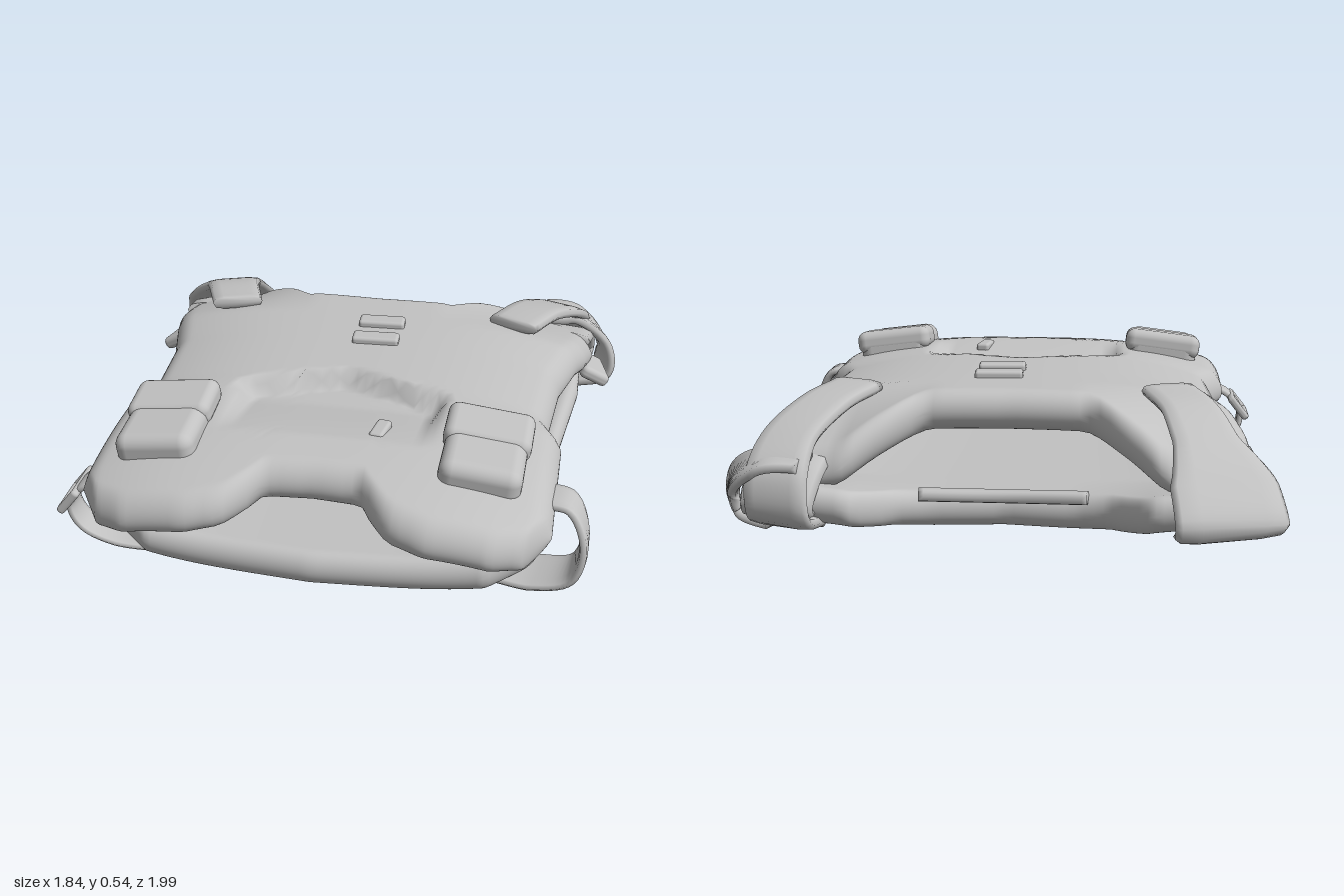
import * as THREE from 'three';
import { mergeVertices } from 'three/addons/utils/BufferGeometryUtils.js';
import { RoundedBoxGeometry } from 'three/addons/geometries/RoundedBoxGeometry.js';

const cloth = new THREE.MeshStandardMaterial({ color: 0xc2c2c2 });
cloth.name = 'grey cloth';

const clamp = THREE.MathUtils.clamp;
const V = (p) => new THREE.Vector3(...p);

// Piecewise linear curve through [key, value] pairs
function curve(pts) {
  return (k) => {
    for (let i = 1; i < pts.length; i++) {
      const [a, b] = [pts[i - 1], pts[i]];
      if (k <= b[0]) return THREE.MathUtils.lerp(a[1], b[1], clamp((k - a[0]) / (b[0] - a[0]), 0, 1));
    }
    return pts[pts.length - 1][1];
  };
}

function build(pos, idx) {
  let g = new THREE.BufferGeometry();
  g.setAttribute('position', new THREE.Float32BufferAttribute(pos, 3));
  g.setIndex(idx);
  g = mergeVertices(g, 1e-4);
  g.computeVertexNormals();
  return g;
}

// Padded panel: outline by back/front edge per column and half width per row
function paddedPanel({ back, front, half, mid, thick, dent = () => 0, round = 0.07 }) {
  const NX = 72, NZ = 90, pos = [], idx = [];
  const soft = (d) => Math.sqrt(1 - (1 - clamp(d / round, 0, 1)) ** 2);
  for (const side of [1, -1]) {
    const base = pos.length / 3;
    for (let i = 0; i <= NX; i++) for (let j = 0; j <= NZ; j++) {
      const s = Math.sin((i / NX - 0.5) * Math.PI), a = Math.abs(s);
      const t = (1 - Math.cos(j / NZ * Math.PI)) / 2;
      const z0 = back(a), z1 = front(a), z = z0 + t * (z1 - z0), x = s * half(z);
      const f = soft((1 - a) * 0.78) * soft(Math.min(t, 1 - t) * (z1 - z0));
      let y = mid(a, z) + side * f * thick / 2;
      if (side > 0) y -= f * dent(x, z);
      pos.push(x, y, z);
      if (i < NX && j < NZ) {
        const p = base + i * (NZ + 1) + j, q = p + NZ + 1;
        if (side > 0) idx.push(p, p + 1, q, q, p + 1, q + 1);
        else idx.push(p, q, p + 1, q, q + 1, p + 1);
      }
    }
  }
  return build(pos, idx);
}

// Flat strap with rounded edges swept along a path; widths vary along it
function strapGeometry(points, widths, thick, across) {
  const path = new THREE.CatmullRomCurve3(points.map(V));
  const N = 36, M = 10, pos = [], idx = [];
  const width = curve(widths.map((w, i) => [i / (widths.length - 1), w]));
  for (let i = 0; i <= N; i++) {
    const p = path.getPoint(i / N), T = path.getTangent(i / N);
    const S = V(across).addScaledVector(T, -V(across).dot(T)).normalize();
    const U = new THREE.Vector3().crossVectors(T, S);
    for (let j = 0; j < M; j++) {
      const c = Math.cos(j / M * 2 * Math.PI), s = Math.sin(j / M * 2 * Math.PI);
      const q = p.clone()
        .addScaledVector(S, Math.sign(c) * Math.abs(c) ** 0.5 * width(i / N) / 2)
        .addScaledVector(U, Math.sign(s) * Math.abs(s) ** 0.6 * thick / 2);
      pos.push(q.x, q.y, q.z);
      if (i < N) {
        const a = i * M + j, b = i * M + (j + 1) % M;
        idx.push(a, b, a + M, b, b + M, a + M);
      }
    }
  }
  for (let j = 1; j < M - 1; j++) {
    idx.push(0, j + 1, j);
    idx.push(N * M, N * M + j, N * M + j + 1);
  }
  return build(pos, idx);
}

export function createModel() {
  const model = new THREE.Group();
  model.name = 'vest';
  const add = (name, geo, p = [0, 0, 0], r = [0, 0, 0], parent = model) => {
    const m = new THREE.Mesh(geo, cloth);
    m.name = name;
    m.position.set(...p);
    m.rotation.set(...r);
    parent.add(m);
    return m;
  };
  const pad = (w, h, d, r = 0.02) => new RoundedBoxGeometry(w, h, d, 3, Math.min(r, h / 2.1));

  // Front panel, lying on top, with a stepped belly pocket
  const shoulderDrop = curve([[0.3, 0], [0.65, 1], [1, 1]]);
  add('frontPanel', paddedPanel({
    back: curve([[0, -0.5], [0.35, -0.51], [0.45, -0.62], [0.6, -0.74], [0.85, -0.74], [1, -0.6]]),
    front: curve([[0, 0.8], [0.21, 0.81], [0.27, 0.88], [0.36, 0.95], [0.52, 0.985], [0.8, 0.975], [0.92, 0.93], [1, 0.8]]),
    half: curve([[-0.75, 0.85], [-0.42, 0.81], [-0.1, 0.73], [0.24, 0.71], [0.34, 0.765], [0.8, 0.77], [1, 0.73]]),
    mid: (a, z) => 0.41 - 0.09 * a ** 3 - 0.07 * Math.max(0, (z - 0.45) / 0.5) ** 2
      - 0.14 * shoulderDrop(a) * Math.max(0, (-0.3 - z) / 0.45) ** 1.2,
    thick: 0.14,
    dent: (x, z) => {
      const a = Math.abs(x), d = z - 0.15 - 0.35 * a;
      if (a > 0.36 || d < 0) return 0;
      return 0.065 * clamp(d / 0.025, 0, 1) * clamp((0.62 - z) / 0.3, 0, 1) * clamp((0.36 - a) / 0.03, 0, 1);
    },
  }));

  // Back panel, lying on the ground
  add('backPanel', paddedPanel({
    back: curve([[0, -0.61], [0.32, -0.64], [0.45, -0.68], [0.62, -0.84], [0.82, -0.84], [1, -0.6]]),
    front: curve([[0, 0.87], [0.2, 0.86], [0.8, 0.83], [1, 0.7]]),
    half: curve([[-0.85, 0.78], [-0.4, 0.79], [0, 0.75], [0.3, 0.75], [0.6, 0.74], [0.9, 0.7]]),
    mid: (a, z) => 0.1 + 0.06 * a ** 4 + 0.05 * shoulderDrop(a) * Math.max(0, (-0.45 - z) / 0.4),
    thick: 0.12,
    round: 0.05,
  }));
  for (let i = 0; i < 5; i++) add('backWebbing', pad(0.86, 0.035, 0.13, 0.015), [0, 0.038, -0.38 + i * 0.21], [0.12, 0, 0]);
  add('neckTab', strapGeometry([[-0.28, 0.16, -0.645], [0, 0.15, -0.61], [0.28, 0.16, -0.645]], [0.06, 0.06], 0.04, [0, 0, 1]));

  for (const k of [-1, 1]) {
    // Padded shoulder fold joining both panels
    add('shoulderFold', strapGeometry(
      [[0.68, 0.31, -0.58], [0.7, 0.25, -0.76], [0.71, 0.16, -0.84], [0.7, 0.13, -0.72]].map(([x, y, z]) => [k * x, y, z]),
      [0.28, 0.27, 0.25, 0.24], 0.06, [1, 0, k * 0.2]));
    add('shoulderTab', pad(0.12, 0.05, 0.18), [k * 0.83, 0.2, -0.56], [0, k * 0.25, -k * 0.5]);

    // Belly pouch with flap
    const pouch = new THREE.Group();
    pouch.name = 'pouch';
    pouch.position.set(k * 0.53, 0.445, 0.595);
    pouch.rotation.set(0.06, 0, -k * 0.12);
    add('pouchBody', pad(0.27, 0.12, 0.37, 0.045), [0, 0, 0], [0, 0, 0], pouch);
    add('pouchFlap', pad(0.29, 0.09, 0.19, 0.035), [0, 0.03, -0.09], [0.05, 0, 0], pouch);
    model.add(pouch);
  }

  // Shoulder straps: one flared, one looped
  add('rightShoulderStrap', strapGeometry(
    [[-0.54, 0.465, -0.34], [-0.61, 0.44, -0.54], [-0.66, 0.37, -0.71], [-0.71, 0.27, -0.84], [-0.735, 0.15, -0.935], [-0.7, 0.1, -0.8]],
    [0.19, 0.2, 0.23, 0.36, 0.38, 0.3], 0.045, [0.94, 0, -0.34]));
  add('leftShoulderStrap', strapGeometry(
    [[0.53, 0.465, -0.34], [0.61, 0.44, -0.54], [0.69, 0.36, -0.74], [0.7, 0.26, -0.88], [0.69, 0.15, -0.9], [0.67, 0.1, -0.75]],
    [0.2, 0.2, 0.21, 0.23, 0.24, 0.22], 0.045, [0.94, 0, 0.34]));
  add('leftStrapLoop', strapGeometry(
    [[0.62, 0.31, -0.82], [0.76, 0.3, -0.81], [0.87, 0.22, -0.74], [0.87, 0.13, -0.72], [0.75, 0.08, -0.73]],
    [0.2, 0.2, 0.18, 0.18, 0.18], 0.04, [0.35, 0, 0.94]));

  // Waist straps
  add('leftWaistStrap', strapGeometry(
    [[0.72, 0.33, 0.62], [0.82, 0.32, 0.64], [0.87, 0.21, 0.67], [0.84, 0.09, 0.67], [0.72, 0.04, 0.64], [0.55, 0.035, 0.6]],
    [0.14, 0.14, 0.15, 0.17, 0.2, 0.2], 0.03, [0, 0, 1]));
  add('rightWaistStrap', strapGeometry(
    [[-0.7, 0.28, 0.69], [-0.8, 0.25, 0.69], [-0.86, 0.17, 0.68], [-0.83, 0.08, 0.67], [-0.72, 0.03, 0.66], [-0.55, 0.02, 0.64]],
    [0.12, 0.12, 0.1, 0.11, 0.14, 0.18], 0.025, [0, 0, 1]));
  const buckle = new THREE.Group();
  buckle.name = 'buckle';
  buckle.position.set(-0.85, 0.2, 0.675);
  buckle.rotation.z = 0.9;
  for (const s of [-1, 1]) {
    add('buckleRail', pad(0.11, 0.03, 0.025), [0, 0, s * 0.08], [0, 0, 0], buckle);
    add('buckleBar', pad(0.025, 0.03, 0.17), [s * 0.045, 0, 0], [0, 0, 0], buckle);
  }
  model.add(buckle);

  // Small chest loops and pocket pull
  for (const z of [-0.225, -0.085]) add('chestLoop', pad(0.17, 0.035, 0.07, 0.012), [0.05, 0.485, z], [0, 0.05, 0]);
  add('pocketPull', pad(0.05, 0.035, 0.11, 0.012), [0.175, 0.455, 0.525], [0, -0.15, 0]);

  // Rest on the ground
  const low = new THREE.Box3().setFromObject(model).min.y;
  for (const part of model.children) part.position.y -= low;
  return model;
}
